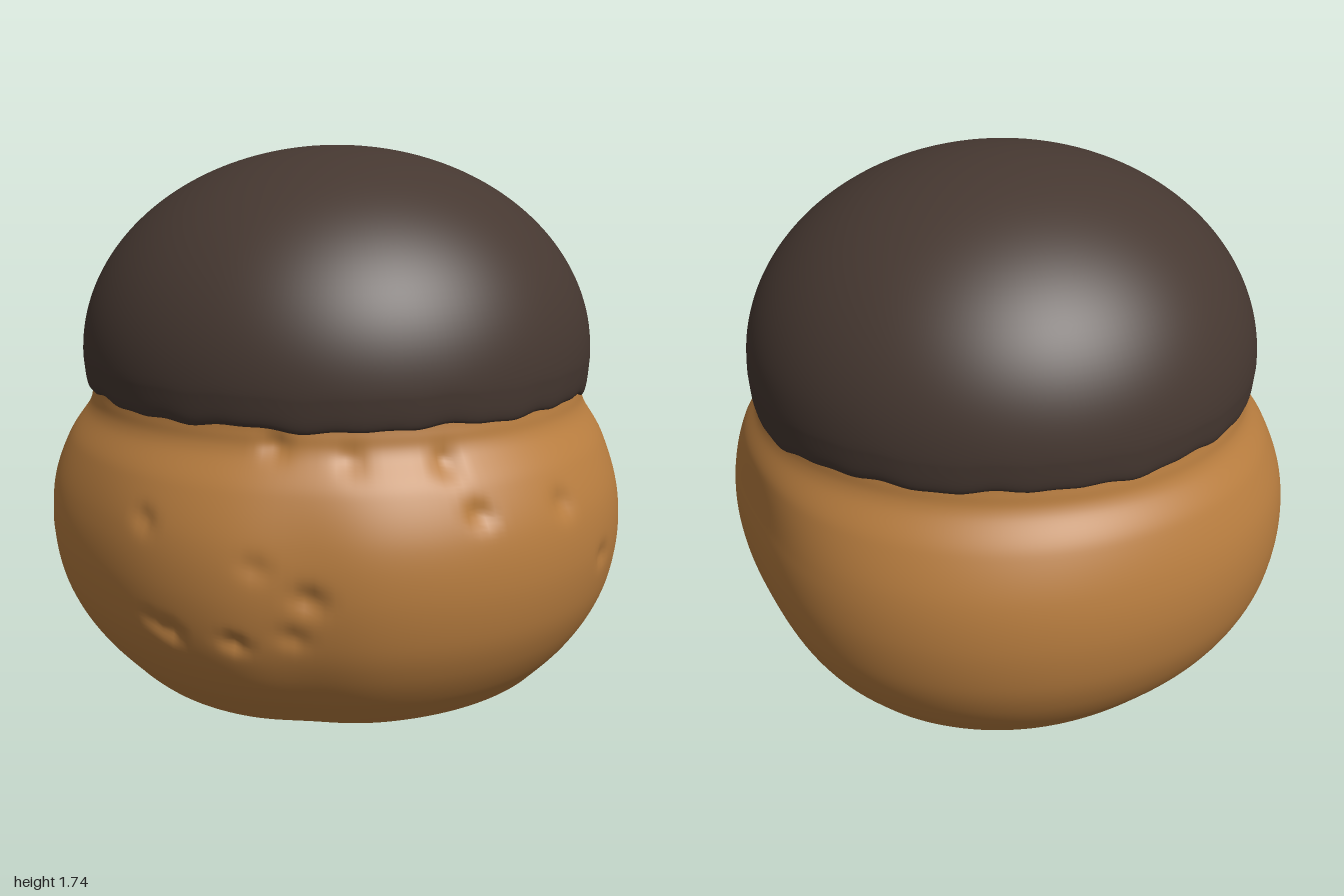
import * as THREE from 'three';
import { mergeVertices } from 'three/addons/utils/BufferGeometryUtils.js';

const SEGMENTS = 200;

// Smooth bump on the circle, with angles measured from +z towards +x
function bump(angle, centre, width) {
  const d = Math.atan2(Math.sin(angle - centre), Math.cos(angle - centre));
  return Math.exp(-((d / width) ** 2));
}

// Revolve a profile, then reshape each vertex by rule(angle, radius, y) -> [radius, y]
function revolve(points, rule) {
  let geometry = new THREE.LatheGeometry(points, SEGMENTS);
  const pos = geometry.attributes.position;
  for (let i = 0; i < pos.count; i++) {
    const x = pos.getX(i), z = pos.getZ(i);
    const angle = Math.atan2(x, z);
    const [r, y] = rule(angle, Math.hypot(x, z), pos.getY(i));
    pos.setXYZ(i, r * Math.sin(angle), y, r * Math.cos(angle));
  }
  geometry.deleteAttribute('uv');
  geometry.deleteAttribute('normal');
  geometry = mergeVertices(geometry, 1e-5);
  geometry.computeVertexNormals();
  return geometry;
}

function smoothProfile(pairs, divisions) {
  return new THREE.SplineCurve(pairs.map(([r, y]) => new THREE.Vector2(r, y))).getPoints(divisions);
}

// Uneven outline of the bun: flatter at the back left, gentle dents elsewhere
function lump(angle) {
  return 1 - 0.075 * bump(angle, 2.35, 0.45) - 0.02 * bump(angle, 0.3, 0.16)
    - 0.02 * bump(angle, -0.5, 0.3) - 0.02 * bump(angle, -2.3, 0.4);
}

// Small pits in the crust: angle, height, width, depth
const pits = [
  [-0.22, 0.66, 0.035, 0.015], [-0.12, 0.33, 0.035, 0.025], [-0.19, 0.35, 0.03, 0.015],
  [0.10, 0.33, 0.03, 0.025], [0.33, 0.48, 0.04, 0.025], [0.28, 0.36, 0.035, 0.015],
  [0.17, 0.57, 0.035, 0.012], [0.20, 0.90, 0.04, 0.02], [0.46, 0.86, 0.04, 0.015],
  [0.78, 0.84, 0.04, 0.025], [0.86, 0.70, 0.035, 0.025], [1.43, 0.46, 0.035, 0.015],
  [-0.99, 0.53, 0.03, 0.02], [-0.95, 0.42, 0.03, 0.012], [-1.09, 0.82, 0.025, 0.025],
  [1.2, 0.68, 0.04, 0.02],
];

function bunRule(angle, r, y) {
  const fade = 1 - THREE.MathUtils.smoothstep(y, 0.6, 0.92);
  let radius = r * (1 + (lump(angle) - 1) * fade);
  for (const [a, h, w, depth] of pits) {
    radius -= depth * bump(angle, a, w) * Math.exp(-(((y - h) / w) ** 2));
  }
  return [radius, y];
}

// Glaze: ragged lower rim, hanging lower at the back left
function glazeRule(angle, r, y) {
  const rim = 1 - THREE.MathUtils.smoothstep(y, 0.94, 1.15);
  const ragged = 0.005 * Math.sin(9 * angle + 1) + 0.004 * Math.sin(17 * angle)
    + 0.003 * Math.sin(31 * angle + 2);
  const drop = 0.045 * bump(angle, 2.25, 0.6);
  return [r * (1 + 0.012 * Math.cos(angle) ** 2), y + rim * (ragged - drop)];
}

export function createModel() {
  const crust = new THREE.MeshStandardMaterial({ color: 0xb87d3f });
  crust.name = 'golden crust';
  const chocolate = new THREE.MeshStandardMaterial({ color: 0x463831 });
  chocolate.name = 'dark chocolate';

  const model = new THREE.Group();
  model.name = 'glazedBun';
  const add = (name, geometry, material) => {
    const mesh = new THREE.Mesh(geometry, material);
    mesh.name = name;
    model.add(mesh);
  };

  // Bun sides, up to a neck hidden under the glaze
  const side = smoothProfile([
    [0.775, 0], [0.865, 0.1], [0.935, 0.21], [0.98, 0.33], [1, 0.48],
    [0.985, 0.63], [0.93, 0.77], [0.862, 0.87], [0.845, 0.93], [0.835, 1],
  ], 90);
  add('bun', revolve(side, bunRule), crust);

  // Flat underside
  add('bunBase', revolve([new THREE.Vector2(0, 0), new THREE.Vector2(0.775, 0)], bunRule), crust);

  // Domed glaze with a rim rolled inwards
  const dome = smoothProfile([[0.825, 0.96], [0.848, 0.945], [0.862, 0.975], [0.87, 1.05]], 14);
  for (let i = 1; i <= 48; i++) {
    const t = (i / 48) * Math.PI / 2;
    dome.push(new THREE.Vector2(i === 48 ? 0 : 0.87 * Math.cos(t), 1.05 + 0.685 * Math.sin(t)));
  }
  add('chocolateGlaze', revolve(dome, glazeRule), chocolate);

  return model;
}
